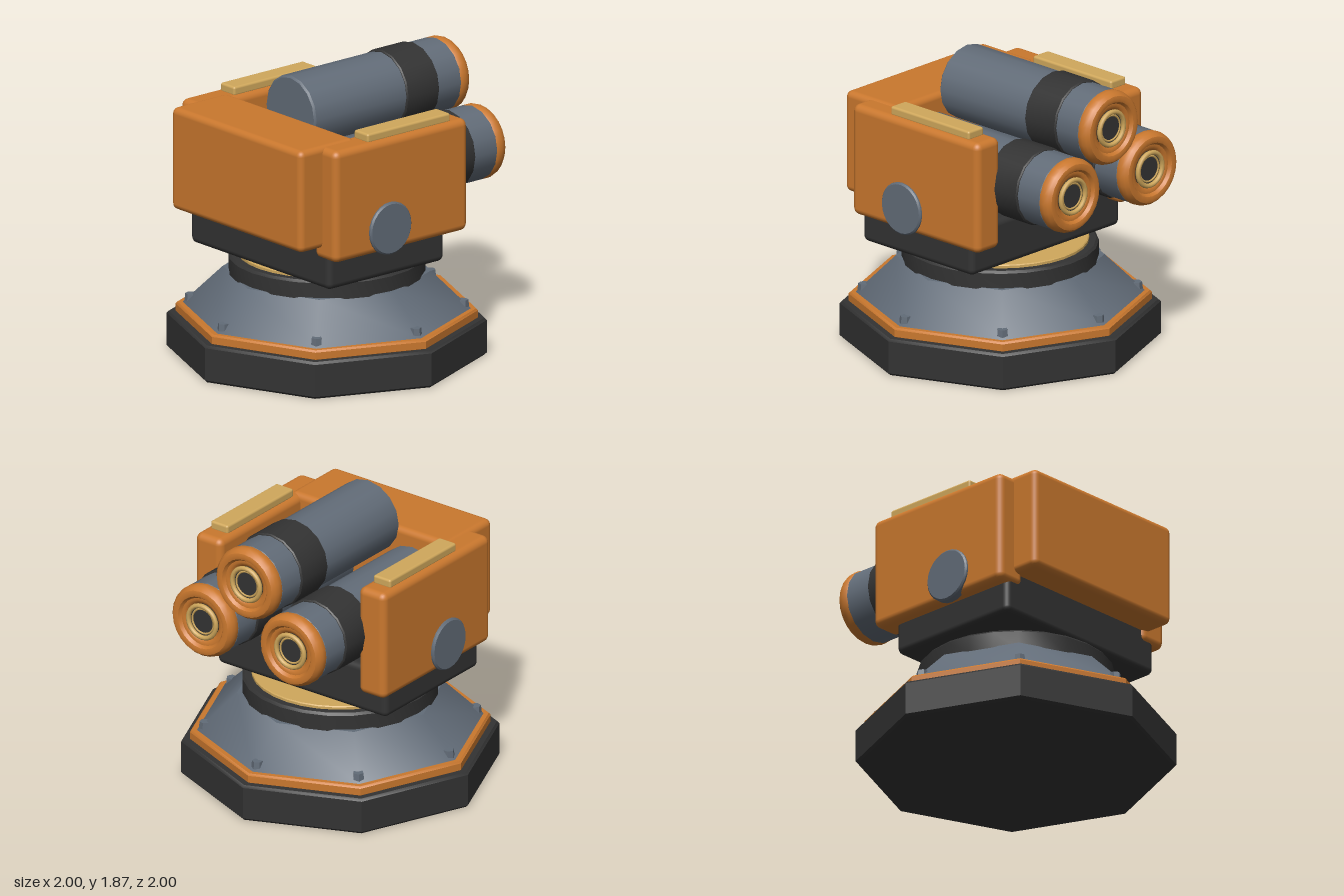
import * as THREE from 'three';
import { toCreasedNormals } from 'three/addons/utils/BufferGeometryUtils.js';
import { RoundedBoxGeometry } from 'three/addons/geometries/RoundedBoxGeometry.js';

const paint = (name, color) => {
  const m = new THREE.MeshStandardMaterial({ color });
  m.name = name;
  return m;
};

export function createModel() {
  const orange = paint('orange', 0xca782e);
  const steel = paint('steel grey', 0x626c78);
  const dark = paint('charcoal', 0x333333);
  const brass = paint('brass', 0xd0a85c);
  const model = new THREE.Group();

  const add = (parent, name, geometry, material, x = 0, y = 0, z = 0) => {
    const mesh = new THREE.Mesh(geometry, material);
    mesh.name = name;
    mesh.position.set(x, y, z);
    parent.add(mesh);
    return mesh;
  };
  // Turned profile of [radius, height] pairs, listed upwards along the outside
  const turned = (points, sides) => toCreasedNormals(
    new THREE.LatheGeometry(points.map(([r, y]) => new THREE.Vector2(r, y)), sides), 0.6);
  // Closed drum from y0 to y1 with bevelled rims
  const drum = (r, y0, y1, b, sides) => turned(
    [[0, y0], [r - b, y0], [r, y0 + b], [r, y1 - b], [r - b, y1], [0, y1]], sides);
  // Rounded box given by its limits
  const block = (name, material, [x0, x1], [y0, y1], [z0, z1], radius) => add(model, name,
    new RoundedBoxGeometry(x1 - x0, y1 - y0, z1 - z0, 3, radius), material,
    (x0 + x1) / 2, (y0 + y1) / 2, (z0 + z1) / 2);

  // Octagonal base, trim and sloping skirt
  add(model, 'base', drum(1, 0, 0.24, 0.015, 8), dark);
  add(model, 'baseTrim', drum(0.945, 0.23, 0.3, 0.012, 8), orange);
  add(model, 'skirt', turned([[0, 0.29], [0.9, 0.29], [0.9, 0.3], [0.65, 0.54], [0, 0.54]], 8), steel);

  // Bolts on the skirt corners
  for (let i = 0; i < 8; i++) {
    const a = i * Math.PI / 4;
    const bolt = add(model, 'bolt', toCreasedNormals(new THREE.CylinderGeometry(0.034, 0.04, 0.055, 6), 0.4),
      steel, Math.sin(a) * 0.85, 0.33, Math.cos(a) * 0.85);
    bolt.rotation.y = a;
  }

  // Turntable
  add(model, 'turntable', drum(0.615, 0.5, 0.65, 0.015, 24), dark);
  add(model, 'turntableRing', drum(0.555, 0.64, 0.672, 0.006, 32), brass);

  // Cradle and front shield
  block('cradle', dark, [-0.665, 0.665], [0.665, 0.98], [-0.4, 0.555], 0.04);
  block('frontShield', orange, [-0.62, 0.62], [0.935, 1.6], [0.29, 0.75], 0.04);

  // Side armour with pivot cap and top strip
  for (const s of [1, -1]) {
    const span = (a, b) => (s > 0 ? [a, b] : [-b, -a]);
    block('sideArmour', orange, span(0.535, 0.745), [0.86, 1.59], [-0.525, 0.57], 0.045);
    block('topStrip', brass, span(0.57, 0.705), [1.58, 1.64], [-0.41, 0.27], 0.015);
    const cap = add(model, 'pivotCap', drum(0.17, 0, 0.065, 0.01, 24), steel, s * 0.7, 1.01, 0.125);
    cap.rotation.z = -s * Math.PI / 2;
  }

  // Three barrels, built along +y and laid down to point backwards
  const tube = drum(0.238, -0.3, 0.91, 0.012, 16);
  const band = drum(0.25, 0.45, 0.715, 0.008, 16);
  const rim = turned([[0.2, 0.89], [0.228, 0.89], [0.24, 0.91], [0.24, 0.94], [0.232, 0.965],
    [0.215, 0.985], [0.195, 0.99], [0.175, 0.985], [0.16, 0.965], [0.145, 0.965], [0.125, 0.955], [0.11, 0.93]], 24);
  const collar = new THREE.TorusGeometry(0.108, 0.016, 8, 24).rotateX(Math.PI / 2).translate(0, 0.965, 0);
  const innerCollar = new THREE.TorusGeometry(0.083, 0.007, 6, 24).rotateX(Math.PI / 2).translate(0, 0.956, 0);
  const bore = drum(0.11, 0.9, 0.955, 0.004, 24);
  for (const [x, y] of [[0, 1.62], [0.345, 1.26], [-0.345, 1.26]]) {
    const barrel = new THREE.Group();
    barrel.name = 'barrel';
    barrel.position.set(x, y, 0);
    barrel.rotation.x = -Math.PI / 2;
    add(barrel, 'barrelTube', tube, steel);
    add(barrel, 'barrelBand', band, dark);
    add(barrel, 'muzzleRim', rim, orange);
    add(barrel, 'muzzleCollar', collar, brass);
    add(barrel, 'muzzleInnerCollar', innerCollar, brass);
    add(barrel, 'bore', bore, dark);
    model.add(barrel);
  }
  return model;
}
